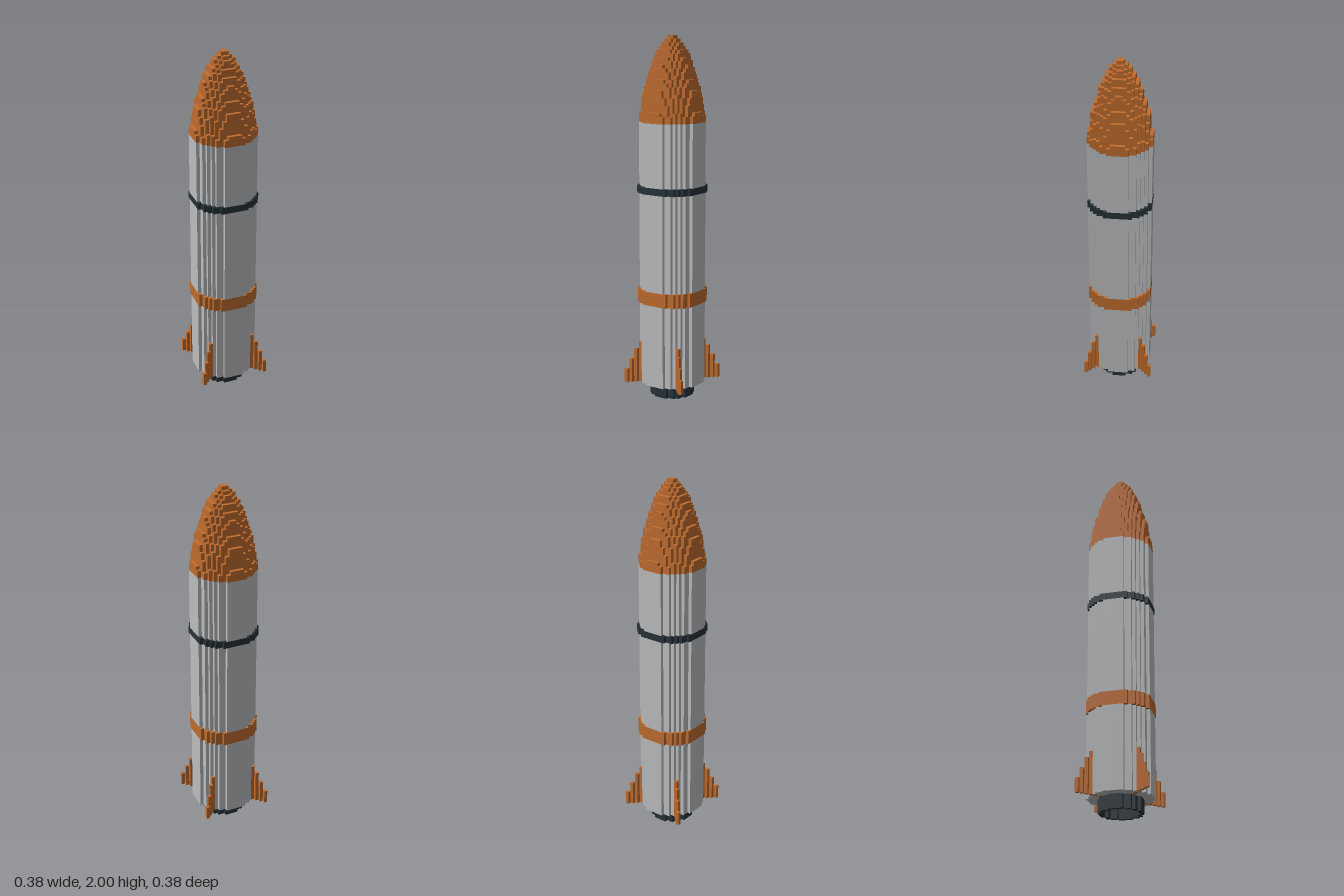
import * as THREE from 'three';

const CELL = 2 / 104; // size of one block

const shell = new THREE.MeshStandardMaterial({ name: 'hull grey', color: 0xbcbdc0 });
const orange = new THREE.MeshStandardMaterial({ name: 'orange', color: 0xc06c2e });
const dark = new THREE.MeshStandardMaterial({ name: 'dark slate', color: 0x263238 });

// Stepped outline of a disc made of square blocks
function discOutline(radius) {
  const halfWidth = (row) => {
    let n = 0;
    while ((n + 0.5) ** 2 + (row + 0.5) ** 2 <= radius * radius) n++;
    return n;
  };
  const quarter = [[halfWidth(0), 0]];
  for (let row = 0; halfWidth(row) > 0; row++) {
    const w = halfWidth(row), next = halfWidth(row + 1);
    if (next === w) continue;
    quarter.push([w, row + 1]);
    if (next > 0) quarter.push([next, row + 1]);
  }
  // The last corner of each quarter leads on to the next quarter
  const points = [];
  for (let q = 0; q < 4; q++) {
    for (const p of quarter) {
      let [x, y] = p;
      for (let i = 0; i < q; i++) [x, y] = [-y, x];
      points.push(new THREE.Vector2(x, y));
    }
  }
  return points;
}

// Upright blocky drum from layer y0 to y1, with an optional bore
function drum(name, material, radius, y0, y1, bore = 0) {
  const shape = new THREE.Shape(discOutline(radius));
  if (bore) shape.holes.push(new THREE.Path(discOutline(bore)));
  const geometry = new THREE.ExtrudeGeometry(shape, { depth: y1 - y0, bevelEnabled: false });
  geometry.rotateX(-Math.PI / 2).translate(0, y0, 0).scale(CELL, CELL, CELL);
  const mesh = new THREE.Mesh(geometry, material);
  mesh.name = name;
  return mesh;
}

// Diagonal fin: a staircase of one-block columns running outwards
function fin(sx, sz) {
  const group = new THREE.Group();
  group.name = 'fin';
  const tops = [21, 19, 16, 14, 11, 8];
  const bottom = 3.97;
  tops.forEach((top, i) => {
    const k = i + 4;
    const inset = i === 0 ? 0.03 : 0; // root stands just proud of the bore
    const size = 1 + inset;
    const geometry = new THREE.BoxGeometry(size, top - bottom, size);
    const c = k + 0.5 - inset / 2;
    geometry.translate(sx * c, (top + bottom) / 2, sz * c).scale(CELL, CELL, CELL);
    const mesh = new THREE.Mesh(geometry, orange);
    mesh.name = 'finColumn';
    group.add(mesh);
  });
  return group;
}

export function createModel() {
  const rocket = new THREE.Group();
  rocket.name = 'rocket';

  // Engine nozzle and hollow hull with two slightly wider bands
  rocket.add(
    drum('nozzle', dark, 6, 0, 4, 5),
    drum('lowerHull', shell, 9, 4, 28, 6),
    drum('orangeBand', orange, 9.5, 28, 32, 6),
    drum('middleHull', shell, 9, 32, 60, 6),
    drum('darkBand', dark, 9.5, 60, 62, 6),
    drum('upperHull', shell, 9, 62, 80, 6),
  );

  // Nose cone, one block layer at a time
  const nose = new THREE.Group();
  nose.name = 'noseCone';
  const radii = [
    9, 8.9, 8.7, 8.45, 8.3, 8.15, 8, 7.85, 7.65, 7.4, 7.1, 6.75,
    6.5, 6.25, 6, 5.7, 5.4, 4.9, 4.4, 3.9, 3.4, 2.8, 2, 1,
  ];
  radii.forEach((r, i) => nose.add(drum('noseLayer', orange, r, 80 + i, 81 + i)));
  rocket.add(nose);

  // Four fins on the diagonals
  for (const sx of [-1, 1]) for (const sz of [-1, 1]) rocket.add(fin(sx, sz));

  return rocket;
}
